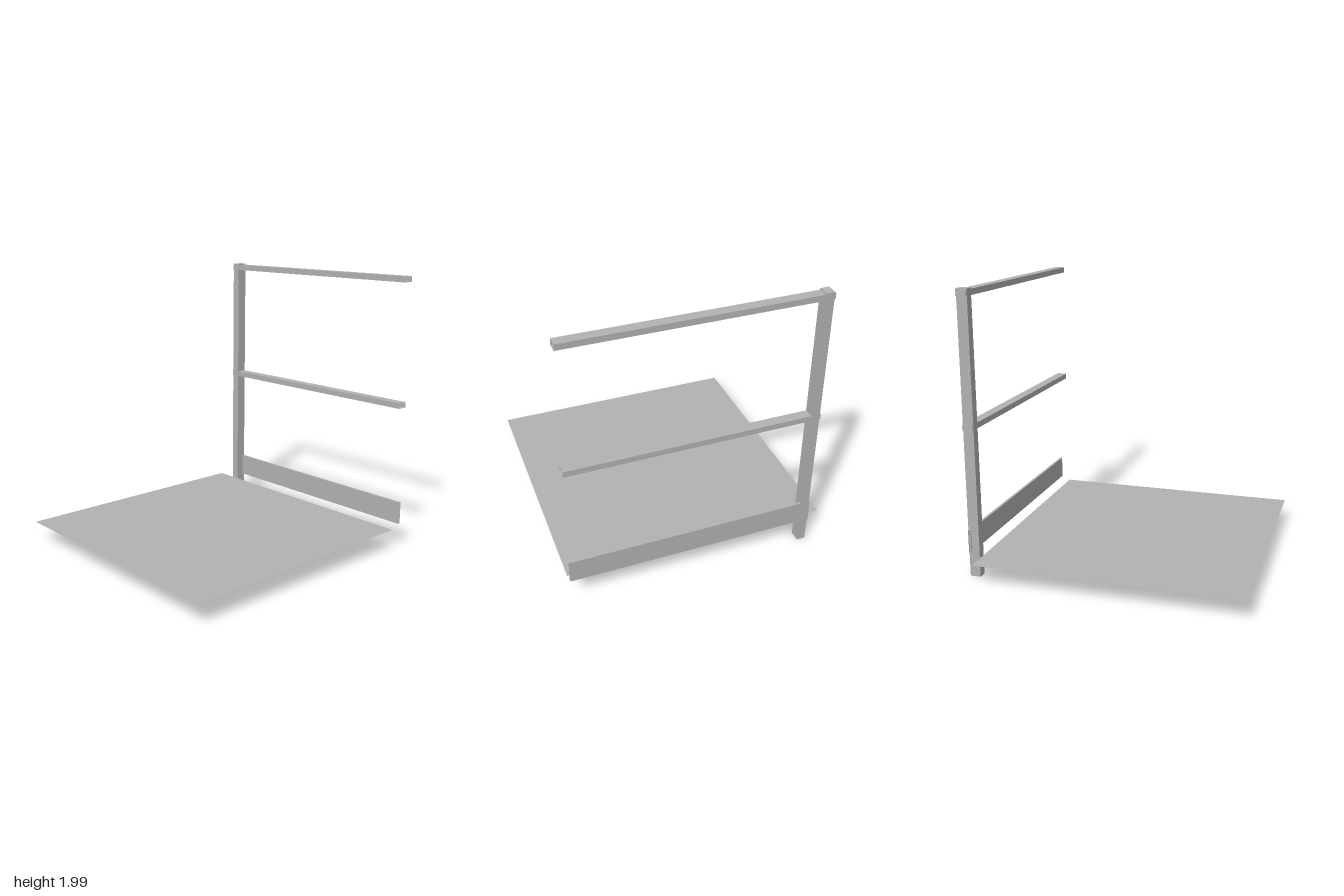
import * as THREE from 'three';

export function createModel() {
  const group = new THREE.Group();
  const steel = new THREE.MeshStandardMaterial({ color: 0xb2b2b2, side: THREE.DoubleSide, flatShading: true });
  steel.name = 'grey steel';

  const add = (name, geometry) => {
    const mesh = new THREE.Mesh(geometry, steel);
    mesh.name = name;
    group.add(mesh);
    return mesh;
  };

  // Thin-walled rectangular tube along y, open at both ends
  const tube = (width, length, depth) =>
    new THREE.CylinderGeometry(Math.SQRT1_2, Math.SQRT1_2, length, 4, 1, true)
      .rotateY(Math.PI / 4)
      .scale(width, 1, depth);

  // Tube running front to back between two x and two y limits
  const beam = (name, x0, x1, y0, y1) => {
    const geometry = tube(x1 - x0, 1.74, y1 - y0).rotateX(Math.PI / 2);
    add(name, geometry).position.set((x0 + x1) / 2, (y0 + y1) / 2, 0.06);
  };

  // Floor sheet
  add('floor', new THREE.PlaneGeometry(1.866, 1.87).rotateX(-Math.PI / 2)).position.set(-0.052, 0.15, -0.004);

  // Upright post with a flat cap
  add('post', tube(0.076, 1.985, 0.06)).position.set(0.927, 0.9975, -0.772);
  add('postCap', new THREE.PlaneGeometry(0.076, 0.06).rotateX(-Math.PI / 2)).position.set(0.927, 1.99, -0.772);

  // Toe board and the two guard rails
  beam('toeBoard', 0.946, 0.964, 0.18, 0.344);
  beam('midRail', 0.892, 0.964, 1.053, 1.093);
  beam('topRail', 0.892, 0.964, 1.94, 1.981);

  // Small fixing plates where the rails cross the post
  for (const y of [1.073, 1.96]) {
    add('fixingPlate', new THREE.BoxGeometry(0.003, 0.02, 0.027)).position.set(0.965, y, -0.77);
  }

  return group;
}
